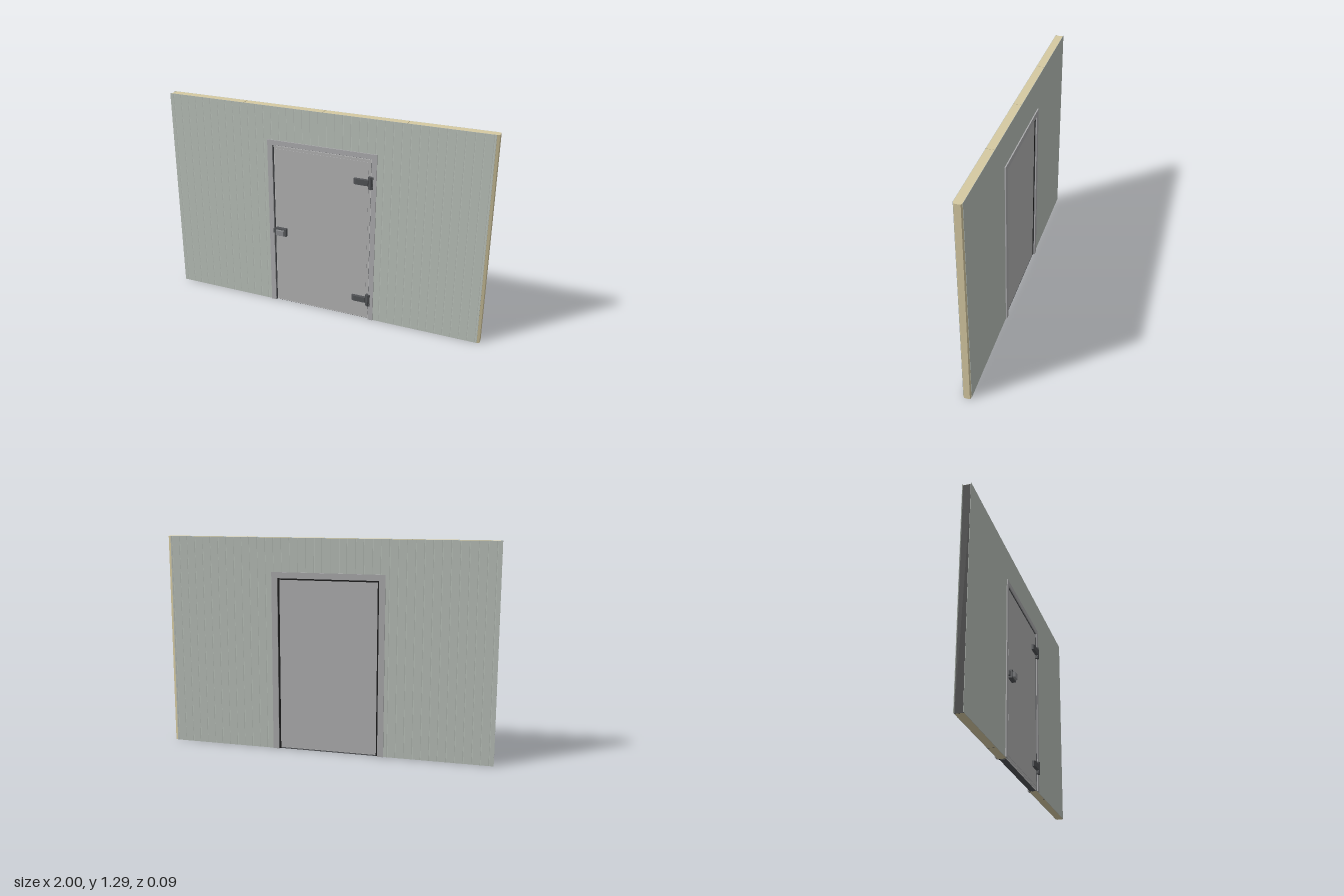
import * as THREE from 'three';

const mat = (color) => new THREE.MeshStandardMaterial({ color, flatShading: true });
const SKIN = mat(0xb9c0b9), CORE = mat(0xd6caa2), FRAME = mat(0xacacae), DOOR = mat(0xb2b2b3);
const TRIM = mat(0xd6d6d6), SEAL = mat(0x1c1c1c), METAL = mat(0x515356), CAP = mat(0x8b8d90);

const H = 1.295, ZF = 0.01, ZB = -0.04, T = 0.002;   // wall height, faces, sheet thickness
const L = -0.32, R = 0.305, TOP = 1.06;               // door opening

function add(parent, name, geo, material) {
  const m = new THREE.Mesh(geo, material);
  m.name = name;
  parent.add(m);
  return m;
}

// box given by its limits on each axis
function box(parent, name, [x0, x1], [y0, y1], [z0, z1], material) {
  const g = new THREE.BoxGeometry(x1 - x0, y1 - y0, z1 - z0);
  g.translate((x0 + x1) / 2, (y0 + y1) / 2, (z0 + z1) / 2);
  return add(parent, name, g, material);
}

// plan outline of [x, z] points extruded upward
function prism(parent, name, pts, y0, y1, material) {
  const s = new THREE.Shape(pts.map(([x, z]) => new THREE.Vector2(x, -z)));
  const g = new THREE.ExtrudeGeometry(s, { depth: y1 - y0, bevelEnabled: false });
  g.rotateX(-Math.PI / 2).translate(0, y0, 0);
  return add(parent, name, g, material);
}

// front-facing outline of [x, y] points extruded from z0 to z1
function slab(parent, name, pts, z0, z1, material) {
  const s = new THREE.Shape(pts.map(([x, y]) => new THREE.Vector2(x, y)));
  const g = new THREE.ExtrudeGeometry(s, { depth: z1 - z0, bevelEnabled: false });
  g.translate(0, 0, z0);
  return add(parent, name, g, material);
}

// sheet with very shallow vertical grooves
function sheet(parent, name, x0, x1, y0, y1, front) {
  const outer = front ? ZF : ZB, s = front ? -1 : 1;
  const pts = [[x0, outer + s * T], [x0, outer]];
  for (let i = -20; i < 20; i++) {
    const x = i * 0.05 + 0.025;
    if (x < x0 + 0.005 || x > x1 - 0.005) continue;
    pts.push([x - 0.003, outer], [x - 0.001, outer + s * 0.0006],
      [x + 0.001, outer + s * 0.0006], [x + 0.003, outer]);
  }
  pts.push([x1, outer], [x1, outer + s * T]);
  prism(parent, name, pts, y0, y1, SKIN);
}

// upside-down U outline around the opening
function portal(w, inset = 0) {
  const l = L + inset, r = R - inset, t = TOP - inset;
  return [[l - w, 0], [l, 0], [l, t], [r, t], [r, 0], [r + w, 0], [r + w, t + w], [l - w, t + w]];
}

function buildWall() {
  const wall = new THREE.Group();
  wall.name = 'wall';
  const X1 = 0.985;
  for (const front of [true, false]) {
    const side = front ? 'front' : 'back';
    sheet(wall, side + 'SheetLeft', R, X1, 0, H, front);
    sheet(wall, side + 'SheetRight', -1, L, 0, H, front);
    sheet(wall, side + 'SheetHeader', L, R, TOP, H, front);
  }
  // insulation, split at the panel joints
  const g = 0.0015, z = [ZB + T, ZF - T];
  box(wall, 'core', [-0.988, -0.5 - g], [0, H], z, CORE);
  box(wall, 'core', [-0.5 + g, L], [0, H], z, CORE);
  box(wall, 'core', [L, -g], [TOP, H], z, CORE);
  box(wall, 'core', [g, R], [TOP, H], z, CORE);
  box(wall, 'core', [R, 0.5 - g], [0, H], z, CORE);
  box(wall, 'core', [0.5 + g, X1], [0, H], z, CORE);
  for (const x of [-0.5, 0, 0.5]) {
    box(wall, 'panelJoint', [x - g, x + g], [x === 0 ? TOP : 0, H - 0.003], z, METAL);
  }
  // groove on one end, tongue on the other
  box(wall, 'grooveLining', [-0.9895, -0.988], [0, H - 0.002], z, SEAL);
  prism(wall, 'tongue', [[X1, ZF - T], [1, 0.001], [1, -0.034], [X1, ZB + T]], 0, H, CORE);
  return wall;
}

function buildFrame() {
  const frame = new THREE.Group();
  frame.name = 'doorFrame';
  slab(frame, 'frontCasing', portal(0.03), ZF, 0.016, FRAME);
  slab(frame, 'backCasing', portal(0.036, 0.004), -0.047, ZB, FRAME);
  slab(frame, 'jambLining', portal(0.003, 0.003), ZB, ZF, METAL);
  slab(frame, 'gasket', portal(0.014, 0.014), -0.036, -0.028, SEAL);
  return frame;
}

function buildDoor() {
  const door = new THREE.Group();
  door.name = 'door';
  const l = L + 0.01, r = R - 0.006, t = TOP - 0.008;
  box(door, 'leaf', [l, r], [0.008, t], [-0.034, 0.007], DOOR);
  box(door, 'edgeTrim', [l - 0.003, r + 0.003], [0.003, t + 0.003], [-0.026, 0.005], TRIM);
  // slightly raised field on the front face
  box(door, 'facePanel', [l + 0.014, r - 0.014], [0.026, t - 0.016], [0.007, 0.009], DOOR);
  box(door, 'bottomSeal', [l, r], [0, 0.004], [-0.034, 0.002], METAL);
  return door;
}

function buildHinge(y) {
  const hinge = new THREE.Group();
  hinge.name = 'hinge';
  // tapered strap on the leaf
  prism(hinge, 'strap', [[0.198, 0.008], [0.288, 0.008], [0.288, 0.029], [0.215, 0.029], [0.198, 0.022]],
    -0.017, 0.017, METAL);
  box(hinge, 'framePlate', [0.288, 0.315], [-0.03, 0.03], [0.008, 0.02], METAL);
  for (const s of [-1, 1]) {
    box(hinge, 'plateTab', [0.288, 0.317], [s * 0.031 - 0.007, s * 0.031 + 0.007], [0.008, 0.025], METAL);
  }
  const pin = add(hinge, 'pin', new THREE.CylinderGeometry(0.008, 0.008, 0.076, 16), METAL);
  pin.position.set(0.302, 0, 0.022);
  hinge.position.y = y;
  return hinge;
}

function buildHandle() {
  const handle = new THREE.Group();
  handle.name = 'handle';
  box(handle, 'base', [-0.306, -0.232], [-0.024, 0.024], [0.007, 0.033], METAL);
  // grip with bevelled ends
  prism(handle, 'grip', [[-0.297, 0.033], [-0.241, 0.033], [-0.245, 0.047], [-0.293, 0.047]],
    -0.016, 0.016, CAP);
  box(handle, 'strikePlate', [-0.322, -0.306], [-0.014, 0.014], [0.007, 0.022], METAL);
  handle.position.y = 0.5;
  return handle;
}

export function createModel() {
  const model = new THREE.Group();
  model.name = 'panelWallWithDoor';
  model.add(buildWall(), buildFrame(), buildDoor(), buildHandle());
  for (const y of [0.14, 0.915]) model.add(buildHinge(y));
  return model;
}
